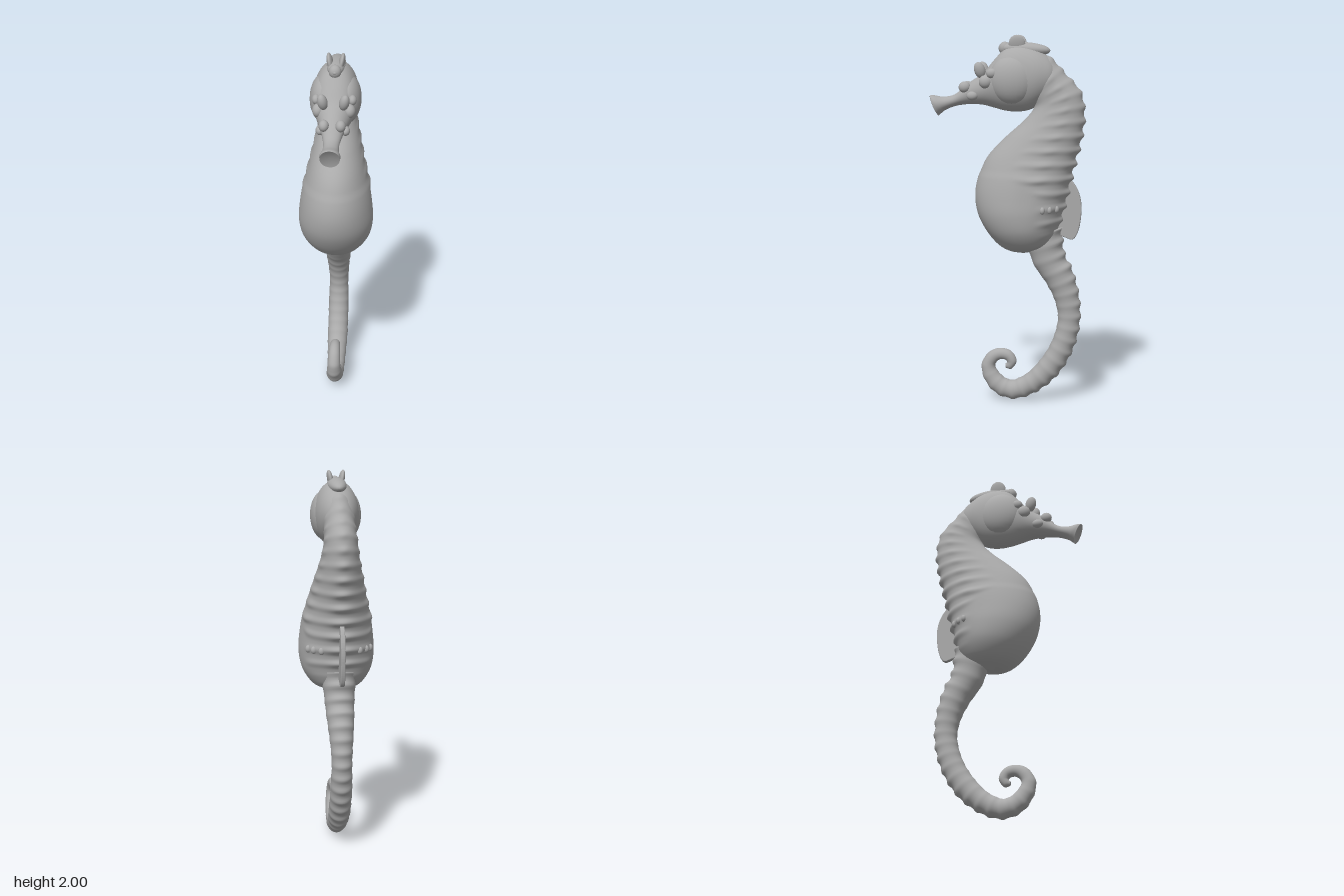
import * as THREE from 'three';

const smooth = THREE.MathUtils.smoothstep;

// Loft through stations [frontZ, frontY, backZ, backY, halfWidth].
// swell(t, s, a): relative radial growth at progress t, back length s, angle a (0 front, PI back).
function loft(stations, steps, sides, swell = () => 0, startPush = 0) {
  const curve = (iz, iy) => new THREE.CatmullRomCurve3(
    stations.map(p => new THREE.Vector3(p[4], p[iy], p[iz])), false, 'catmullrom', 0.5);
  const front = curve(0, 1), back = curve(2, 3);
  const pos = [], idx = [], mids = [];
  let s = 0, last = null;
  for (let i = 0; i <= steps; i++) {
    const t = i / steps, F = front.getPoint(t), B = back.getPoint(t);
    if (last) s += Math.hypot(B.y - last.y, B.z - last.z);
    last = B;
    const my = (F.y + B.y) / 2, mz = (F.z + B.z) / 2;
    mids.push([0, my, mz]);
    for (let j = 0; j < sides; j++) {
      const a = j / sides * Math.PI * 2, k = 1 + swell(t, s, a);
      const c = Math.cos(a) * k / 2;
      pos.push(F.x * Math.sin(a) * k, my + (F.y - B.y) * c, mz + (F.z - B.z) * c);
    }
  }
  for (let i = 0; i < steps; i++) for (let j = 0; j < sides; j++) {
    const a = i * sides + j, b = i * sides + (j + 1) % sides;
    idx.push(a, a + sides, b, b, a + sides, b + sides);
  }
  // end caps
  const n = (steps + 1) * sides, e = steps * sides;
  pos.push(mids[0][0], mids[0][1], mids[0][2] + startPush, ...mids[steps]);
  for (let j = 0; j < sides; j++) {
    const k = (j + 1) % sides;
    idx.push(n, j, k, n + 1, e + k, e + j);
  }
  const g = new THREE.BufferGeometry();
  g.setAttribute('position', new THREE.Float32BufferAttribute(pos, 3));
  g.setIndex(idx);
  g.computeVertexNormals();
  return g;
}

const ripple = (s, spacing) => Math.pow(0.5 + 0.5 * Math.cos(2 * Math.PI * s / spacing), 1.6);
// rows of tubercles: bump around a given angle
const row = (a, at, width) => Math.exp(-Math.pow((Math.abs(a > Math.PI ? a - 2 * Math.PI : a) - at) / width, 2));

export function createModel() {
  const model = new THREE.Group();
  const grey = new THREE.MeshStandardMaterial({ color: 0xaaaaaa });
  grey.name = 'stone grey';

  const add = (name, geometry) => {
    const m = new THREE.Mesh(geometry, grey);
    m.name = name;
    model.add(m);
    return m;
  };
  const blob = (name, x, y, z, rx, ry, rz, tiltX = 0, tiltZ = 0) => {
    const m = add(name, new THREE.SphereGeometry(1, 24, 16));
    m.position.set(x, y, z);
    m.scale.set(rx, ry, rz);
    m.rotation.set(tiltX, 0, tiltZ);
  };
  const pair = (name, x, y, z, rx, ry, rz, tiltX = 0, tiltZ = 0) => {
    blob(name + 'Left', x, y, z, rx, ry, rz, tiltX, tiltZ);
    blob(name + 'Right', -x, y, z, rx, ry, rz, tiltX, -tiltZ);
  };

  // Neck, ribbed back and smooth pouch
  const torso = [
    [0.00, 1.80, -0.08, 1.92, 0.06], [-0.08, 1.70, -0.20, 1.895, 0.075],
    [-0.12, 1.65, -0.30, 1.795, 0.08], [-0.13, 1.61, -0.38, 1.70, 0.085],
    [-0.07, 1.54, -0.40, 1.58, 0.10], [0.03, 1.45, -0.385, 1.46, 0.125],
    [0.12, 1.35, -0.355, 1.34, 0.152], [0.165, 1.24, -0.33, 1.24, 0.178],
    [0.18, 1.14, -0.31, 1.14, 0.193], [0.165, 1.04, -0.29, 1.06, 0.2],
    [0.12, 0.95, -0.27, 0.98, 0.187], [0.06, 0.88, -0.25, 0.92, 0.15],
    [0.00, 0.845, -0.22, 0.88, 0.105], [-0.07, 0.83, -0.16, 0.85, 0.03],
  ];
  add('torso', loft(torso, 200, 64, (t, s, a) => {
    const c = Math.cos(a);
    const limit = 0.35 - 0.75 * smooth(t, 0.5, 0.62);
    const mask = smooth(-c, -limit, -limit + 0.35) * smooth(t, 0.04, 0.12) * (1 - smooth(t, 0.72, 0.85));
    const knobs = 0.03 + 0.05 * row(a, Math.PI, 0.3) + 0.035 * row(a, 1.95, 0.2);
    const pouch = 0.02 * smooth(t, 0.5, 0.535) * (1 - smooth(t, 0.6, 0.8)) * smooth(c, -0.2, 0.1);
    return mask * knobs * ripple(s, 0.078) + pouch;
  }));

  // Curled tail: centre z, y and radius
  const tailPath = [
    [-0.18, 0.95, 0.10], [-0.217, 0.80, 0.086], [-0.27, 0.71, 0.078], [-0.312, 0.60, 0.066],
    [-0.328, 0.487, 0.059], [-0.312, 0.38, 0.059], [-0.27, 0.275, 0.06], [-0.206, 0.18, 0.06],
    [-0.132, 0.111, 0.055], [-0.064, 0.074, 0.052], [-0.01, 0.063, 0.05], [0.053, 0.085, 0.048],
    [0.10, 0.138, 0.043], [0.116, 0.196, 0.037], [0.09, 0.243, 0.034], [0.048, 0.262, 0.031],
    [0.005, 0.253, 0.029], [-0.014, 0.222, 0.027], [0.0, 0.196, 0.022], [0.02, 0.194, 0.012],
  ];
  const tail = tailPath.map(([z, y, r], i) => {
    const p = tailPath[Math.max(i - 1, 0)], q = tailPath[Math.min(i + 1, tailPath.length - 1)];
    const len = Math.hypot(q[0] - p[0], q[1] - p[1]);
    const nz = -(q[1] - p[1]) / len * r, ny = (q[0] - p[0]) / len * r;
    return [z + nz, y + ny, z - nz, y - ny, r * (i < 5 ? 0.9 : 0.95)];
  });
  add('tail', loft(tail, 260, 32, (t, s, a) =>
    (0.03 + 0.12 * row(a, Math.PI, 0.9)) * ripple(s, 0.072) * (1 - smooth(t, 0.5, 0.8))));

  // Head and tubular snout, lofted from the mouth backwards (underside first)
  const head = [
    [0.385, 1.57, 0.432, 1.678, 0.05], [0.365, 1.588, 0.415, 1.68, 0.052],
    [0.345, 1.602, 0.36, 1.672, 0.042], [0.30, 1.62, 0.30, 1.683, 0.04],
    [0.25, 1.63, 0.25, 1.72, 0.05], [0.20, 1.633, 0.20, 1.76, 0.064],
    [0.14, 1.63, 0.14, 1.80, 0.082], [0.08, 1.615, 0.08, 1.87, 0.10],
    [0.02, 1.60, 0.02, 1.93, 0.112], [-0.05, 1.595, -0.05, 1.95, 0.117],
    [-0.12, 1.61, -0.12, 1.94, 0.112], [-0.18, 1.65, -0.18, 1.91, 0.096],
    [-0.235, 1.70, -0.235, 1.86, 0.065], [-0.265, 1.76, -0.265, 1.79, 0.015],
  ];
  add('head', loft(head, 90, 40, undefined, -0.02));

  pair('gillCover', 0.056, 1.765, -0.025, 0.078, 0.13, 0.128);
  pair('eye', 0.08, 1.755, 0.115, 0.03, 0.036, 0.036);
  pair('eyeKnob', 0.092, 1.80, 0.08, 0.022, 0.026, 0.03);
  pair('browHorn', 0.055, 1.815, 0.15, 0.026, 0.045, 0.03, 0.3, -0.2);
  pair('snoutKnob', 0.042, 1.725, 0.235, 0.026, 0.03, 0.032);
  pair('cheekKnob', 0.065, 1.68, 0.19, 0.022, 0.024, 0.03);

  // Crown with two points
  blob('crownRidge', 0, 1.925, -0.08, 0.05, 0.038, 0.14, -0.05);
  blob('crownFrontKnob', 0, 1.93, 0.025, 0.032, 0.035, 0.032);
  pair('crownPoint', 0.029, 1.95, -0.045, 0.016, 0.052, 0.045, 0, -0.2);

  // Flank studs beside the back fin
  for (const [x, z] of [[0.162, -0.2], [0.137, -0.235], [0.1, -0.268]])
    pair('flankStud', x, 1.085, z, 0.016, 0.02, 0.014);

  // Back fin, drawn in the side plane (shape x is -z)
  const fin = new THREE.Shape();
  fin.moveTo(0.25, 1.23);
  fin.lineTo(0.335, 1.225);
  fin.bezierCurveTo(0.37, 1.19, 0.395, 1.12, 0.385, 1.04);
  fin.bezierCurveTo(0.38, 0.97, 0.36, 0.91, 0.335, 0.915);
  fin.lineTo(0.24, 0.95);
  const finGeometry = new THREE.ExtrudeGeometry(fin, {
    depth: 0.012, bevelEnabled: true, bevelSize: 0.005, bevelThickness: 0.006, bevelSegments: 3, curveSegments: 16,
  });
  finGeometry.translate(0, 0, -0.006);
  finGeometry.rotateY(Math.PI / 2);
  add('backFin', finGeometry);

  return model;
}
